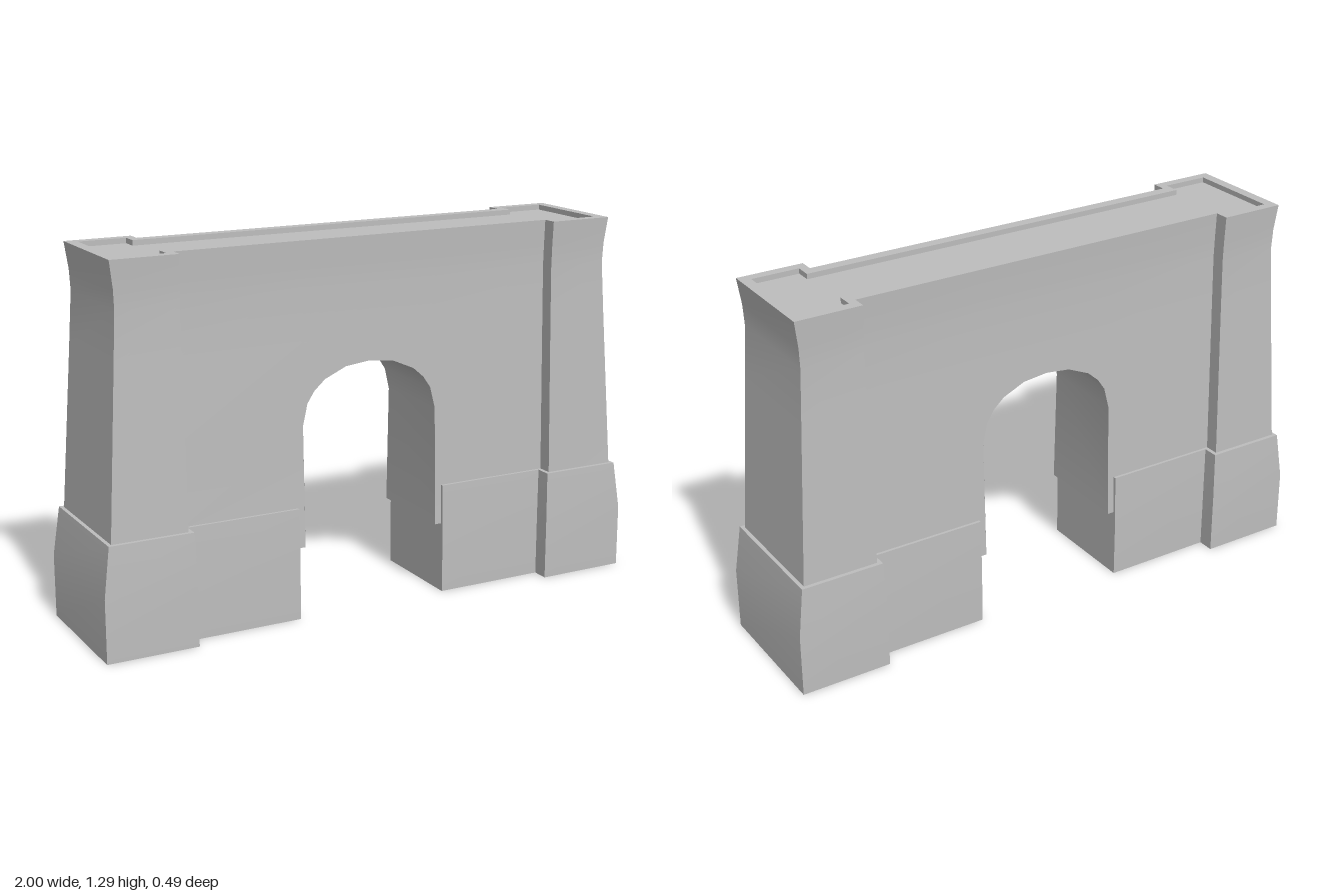
import * as THREE from 'three';
import { toCreasedNormals } from 'three/addons/utils/BufferGeometryUtils.js';

const stone = new THREE.MeshStandardMaterial({ color: 0xbdbdbd, side: THREE.DoubleSide });
stone.name = 'stone grey';

// Upper body profile: y, tower outer x, tower half depth, tower inner x, wall half depth
const upper = [
  [0.25, 0.973, 0.225, 0.70, 0.173],
  [0.39, 0.964, 0.220, 0.70, 0.168],
  [0.67, 0.946, 0.211, 0.70, 0.160],
  [0.95, 0.928, 0.202, 0.70, 0.152],
  [1.13, 0.917, 0.197, 0.70, 0.147],
  [1.20, 0.920, 0.199, 0.70, 0.149],
  [1.29, 0.932, 0.204, 0.70, 0.153],
];
// Plinth profile; the last row turns inward as a ledge
const plinth = [
  [0, 1, 0.243, 0.68, 0.184],
  [0.22, 1, 0.243, 0.68, 0.184],
  [0.39, 0.977, 0.234, 0.685, 0.178],
  upper[1],
];
const ARCH = [[0.255, 0.25], [0.255, 0.67], [0.237, 0.745], [0.21, 0.785], [0.17, 0.82], [0.09, 0.855], [0, 0.865]];

// Surface through rows of points
function sheet(rows, closed = false) {
  const pos = [];
  const tri = (a, b, c) => {
    if (new THREE.Triangle(a, b, c).getArea() > 1e-7) for (const p of [a, b, c]) pos.push(p.x, p.y, p.z);
  };
  for (let r = 0; r + 1 < rows.length; r++) {
    const lo = rows[r], hi = rows[r + 1], n = lo.length;
    for (let i = 0; i < (closed ? n : n - 1); i++) {
      const j = (i + 1) % n;
      tri(lo[i], lo[j], hi[j]);
      tri(lo[i], hi[j], hi[i]);
    }
  }
  const g = new THREE.BufferGeometry();
  g.setAttribute('position', new THREE.Float32BufferAttribute(pos, 3));
  return toCreasedNormals(g, 0.7);
}

const v = (x, y, z) => new THREE.Vector3(x, y, z);

// Outline of one tower, open towards the wall
const towerRow = ([y, xo, zt, xm, zw]) => [
  v(xm, y, zw), v(xm, y, zt), v(xo, y, zt), v(xo, y, -zt), v(xm, y, -zt), v(xm, y, -zw),
];
// Outline of a plinth: tower footing plus the lower wall beside the passage
const plinthRow = (p) => [v(0.28, p[0], p[4]), ...towerRow(p), v(0.28, p[0], -p[4])];
// Outline of the whole top
const topRow = (p) => {
  const half = towerRow(p);
  return [...half, ...half.map((q) => v(-q.x, q.y, -q.z))];
};

// Wall half depth at a height
function wallDepth(y) {
  let i = 0;
  while (i < upper.length - 2 && y > upper[i + 1][0]) i++;
  const [a, b] = [upper[i], upper[i + 1]];
  return THREE.MathUtils.mapLinear(y, a[0], b[0], a[4], b[4]);
}

export function createModel() {
  const model = new THREE.Group();
  model.name = 'archedGateway';
  const add = (name, geometry, turned = false) => {
    const m = new THREE.Mesh(geometry, stone);
    m.name = name;
    if (turned) m.rotation.y = Math.PI;
    model.add(m);
    return m;
  };

  // Towers and plinths on both sides
  const tower = sheet(upper.map(towerRow));
  const base = sheet(plinth.map(plinthRow), true);
  for (const [side, turned] of [['left', false], ['right', true]]) {
    add(side + 'Tower', tower, turned);
    add(side + 'Plinth', base, turned);
  }

  // Wall faces around the arch
  const arch = [...ARCH.map(([x, y]) => [-x, y]), ...ARCH.slice(0, -1).reverse()];
  const columns = [[-0.70, 0.25], ...arch, [0.70, 0.25]];
  const face = sheet(upper.map(([level]) => columns.map(([x, bottom]) => {
    const y = Math.max(level, bottom);
    return v(x, y, wallDepth(y));
  })));
  add('frontWall', face);
  add('backWall', face, true);

  // Passage lining
  add('archLining', sheet([-1, 1].map((s) => arch.map(([x, y]) => v(x, y, s * wallDepth(y))))));

  // Parapet rim and the sunken deck
  const rim = upper[upper.length - 1];
  const inner = [0.895, 0.17, 0.73, 0.114];
  const deckY = 1.272;
  add('parapet', sheet([rim, [rim[0], ...inner], [deckY, ...inner]].map(topRow), true));
  const deckShape = new THREE.Shape(topRow([0, ...inner]).map((p) => new THREE.Vector2(p.x, -p.z)));
  const deck = new THREE.ShapeGeometry(deckShape).rotateX(-Math.PI / 2).translate(0, deckY, 0);
  add('deck', deck);

  return model;
}
